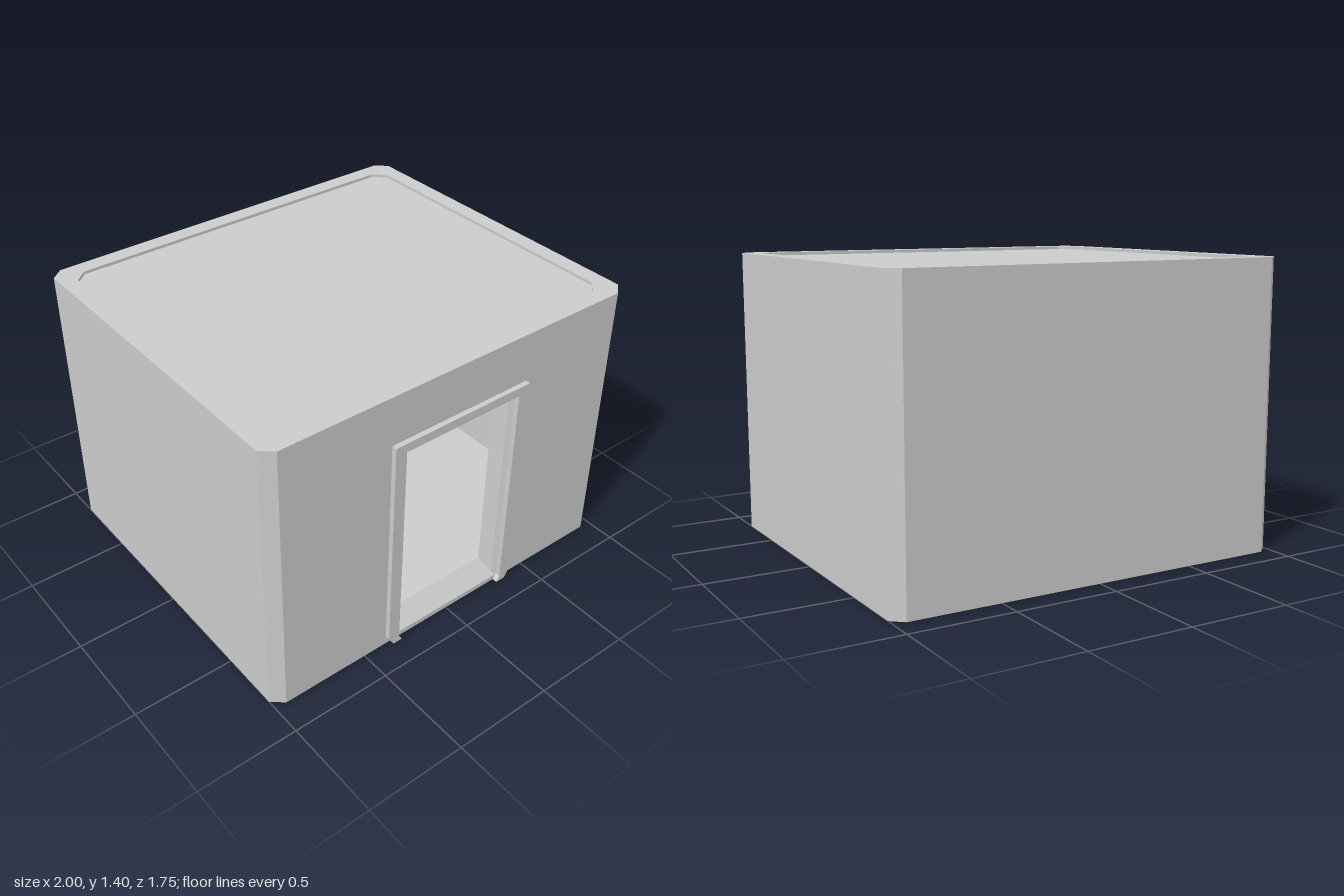
import * as THREE from 'three';

const material = new THREE.MeshStandardMaterial({ color: 0xcccccc, flatShading: true });
const FRONT = 0.85, BACK = -0.88, HEIGHT = 1.4, WALL = 0.08;
const INNER = FRONT - WALL;

function add(group, name, geometry) {
  const mesh = new THREE.Mesh(geometry, material);
  mesh.name = name;
  group.add(mesh);
}

const toShape = (points) => new THREE.Shape(points.map(([x, y]) => new THREE.Vector2(x, y)));

// Extrudes an outline of [x, z] points upward from y0 to y1.
function extrudeUp(points, y0, y1) {
  const shape = toShape(points.map(([x, z]) => [x, -z]));
  const geometry = new THREE.ExtrudeGeometry(shape, { depth: y1 - y0, bevelEnabled: false });
  return geometry.rotateX(-Math.PI / 2).translate(0, y0, 0);
}

// Extrudes a profile of [z, y] points sideways from x0 to x1.
function extrudeAcross(points, x0, x1) {
  const shape = toShape(points.map(([z, y]) => [-z, y]));
  const geometry = new THREE.ExtrudeGeometry(shape, { depth: x1 - x0, bevelEnabled: false });
  return geometry.rotateY(Math.PI / 2).translate(x0, 0, 0);
}

// Chamfered rectangle, starting at the front right end and ending at the front left end.
function chamferedPlan(inset, cx, cz) {
  const x = 1 - inset, f = FRONT - inset, b = BACK + inset;
  return [
    [x - cx, f], [x, f - cz], [x, b + cz], [x - cx, b],
    [-x + cx, b], [-x, b + cz], [-x, f - cz], [-x + cx, f],
  ];
}

export function createModel() {
  const group = new THREE.Group();
  group.name = 'room';

  // Wall shell, open at the doorway with jambs that narrow inward
  const outer = chamferedPlan(0, 0.058, 0.05);
  const inner = chamferedPlan(WALL, 0.06, 0.055).reverse();
  add(group, 'walls', extrudeUp([
    ...outer, [-0.315, FRONT], [-0.29, FRONT - 0.015], [-0.26, INNER],
    ...inner, [0.28, INNER], [0.31, FRONT - 0.015], [0.33, FRONT],
  ], 0, HEIGHT));

  // Sloping pieces above and below the doorway
  add(group, 'lintel', extrudeAcross(
    [[FRONT, 1.11], [FRONT, HEIGHT], [INNER, HEIGHT], [INNER, 1.09]], -0.315, 0.33));
  add(group, 'threshold', extrudeAcross(
    [[FRONT, 0], [FRONT, 0.025], [FRONT - 0.015, 0.04], [INNER, 0.105], [INNER, 0]], -0.315, 0.33));

  // Floor and the roof panel set just below the wall tops
  const slab = chamferedPlan(WALL - 0.004, 0.06, 0.055);
  add(group, 'floor', extrudeUp(chamferedPlan(WALL, 0.06, 0.055), 0, 0.105));
  add(group, 'roofPanel', extrudeUp(slab, 1.28, 1.385));

  // Raised door surround with feet turned inward
  const surround = toShape([
    [-0.348, 0], [-0.375, 0.045], [-0.375, 1.155], [0.39, 1.155], [0.39, 0.045], [0.363, 0],
    [0.312, 0], [0.33, 0.03], [0.33, 1.11], [-0.315, 1.11], [-0.315, 0.03], [-0.297, 0],
  ]);
  const surroundGeometry = new THREE.ExtrudeGeometry(surround, { depth: 0.03, bevelEnabled: false });
  add(group, 'doorSurround', surroundGeometry.translate(0, 0, 0.845));

  return group;
}
